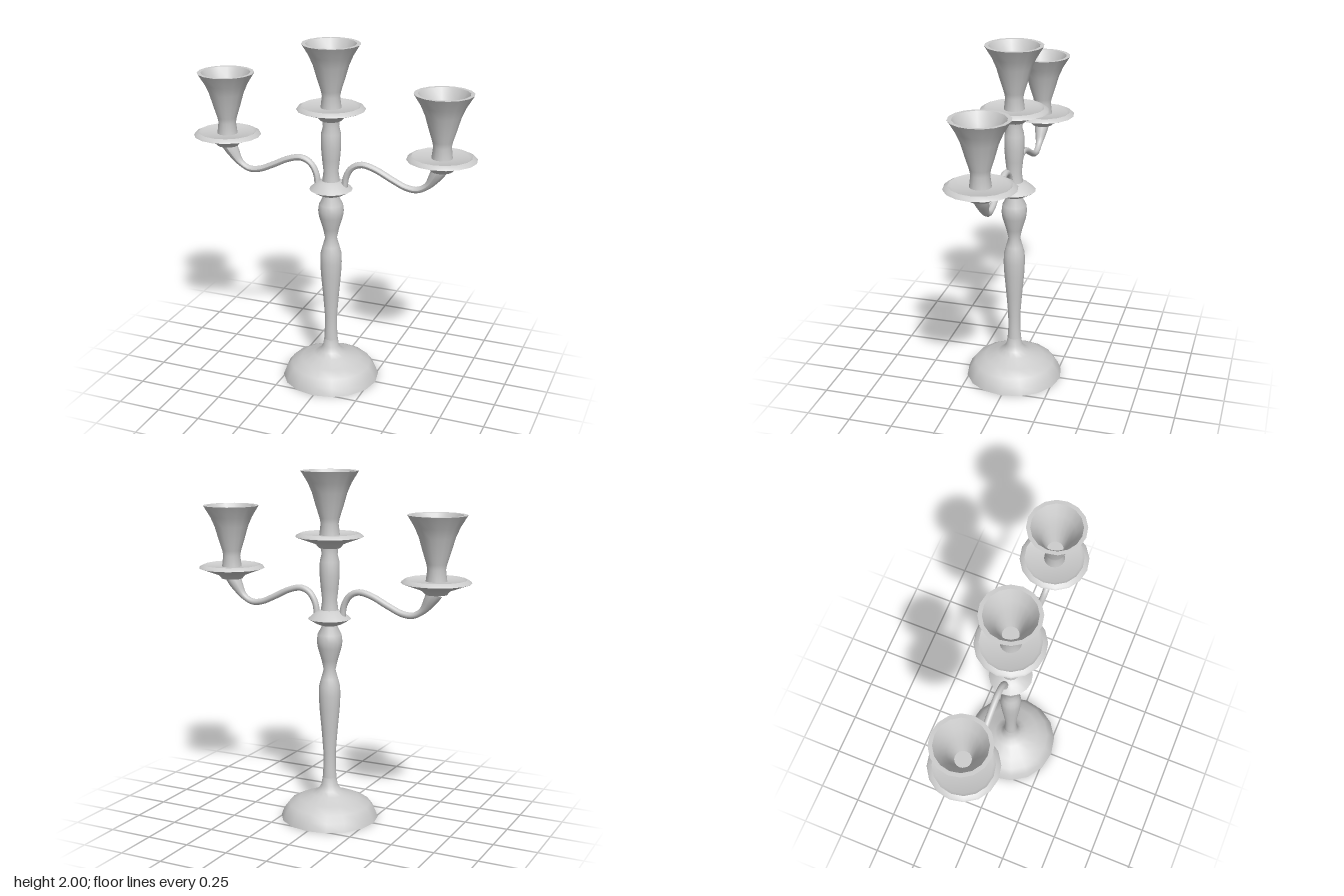
import * as THREE from 'three';
import { toCreasedNormals } from 'three/addons/utils/BufferGeometryUtils.js';

const material = new THREE.MeshStandardMaterial({ color: 0xcccccc });

// Turned part from [radius, height] pairs, listed from the bottom up the outside
function turned(name, profile) {
  const points = profile.map(([r, y]) => new THREE.Vector2(r, y));
  const geometry = toCreasedNormals(new THREE.LatheGeometry(points, 16), 0.8);
  const mesh = new THREE.Mesh(geometry, material);
  mesh.name = name;
  return mesh;
}

// Drip plate and flared cup; y = 0 is the underside of the plate
function candleHolder(name, x, y) {
  const group = new THREE.Group();
  group.name = name;
  group.add(turned('dripPlate', [
    [0, 0], [0.06, 0], [0.08, 0.022], [0.13, 0.041], [0.192, 0.063],
    [0.185, 0.072], [0.165, 0.082], [0.15, 0.074], [0, 0.07],
  ]));
  group.add(turned('candleCup', [
    [0.058, 0.07], [0.05, 0.135], [0.056, 0.165], [0.078, 0.235], [0.098, 0.305],
    [0.122, 0.36], [0.162, 0.425], [0.14, 0.425], [0.105, 0.365],
    [0.08, 0.305], [0.06, 0.235], [0.045, 0.18], [0, 0.18],
  ]));
  group.position.set(x, y, 0);
  return group;
}

// Curved arm, widening where it meets the drip plate
function arm(name, side) {
  const path = new THREE.CatmullRomCurve3([
    [0.08, 1.185], [0.09, 1.255], [0.125, 1.313], [0.18, 1.337], [0.255, 1.322],
    [0.36, 1.272], [0.44, 1.238], [0.505, 1.233], [0.562, 1.265],
    [0.602, 1.32], [0.632, 1.37],
  ].map(([x, y]) => new THREE.Vector3(side * x, y, 0)));
  const geometry = new THREE.TubeGeometry(path, 40, 0.018, 10);
  const { position, uv } = geometry.attributes;
  const p = new THREE.Vector3();
  for (let i = 0; i < position.count; i++) {
    const u = uv.getX(i);
    const center = path.getPointAt(u);
    const scale = 1 + 1.4 * THREE.MathUtils.smoothstep(u, 0.78, 1);
    p.fromBufferAttribute(position, i).sub(center).multiplyScalar(scale).add(center);
    position.setXYZ(i, p.x, p.y, p.z);
  }
  geometry.computeVertexNormals();
  const mesh = new THREE.Mesh(geometry, material);
  mesh.name = name;
  return mesh;
}

export function createModel() {
  const model = new THREE.Group();
  model.name = 'candelabra';

  // Domed foot flowing into the slender stem
  model.add(turned('foot', [
    [0, 0], [0.282, 0], [0.265, 0.045], [0.235, 0.085], [0.175, 0.115],
    [0.1, 0.143], [0.065, 0.165], [0.047, 0.195], [0.04, 0.24],
  ]));
  model.add(turned('lowerStem', [
    [0.04, 0.24], [0.036, 0.3], [0.036, 0.39], [0.046, 0.52], [0.058, 0.65],
    [0.062, 0.73], [0.06, 0.785], [0.048, 0.83], [0.034, 0.88], [0.046, 0.935],
    [0.068, 1.01], [0.073, 1.045], [0.068, 1.085], [0.045, 1.13], [0.045, 1.15],
  ]));

  // Collar that carries the arms, and the stem above it
  model.add(turned('collar', [
    [0.04, 1.135], [0.07, 1.145], [0.122, 1.175], [0.075, 1.215], [0.05, 1.225],
  ]));
  model.add(turned('upperStem', [
    [0.05, 1.22], [0.042, 1.28], [0.05, 1.35], [0.056, 1.42],
    [0.055, 1.5], [0.045, 1.54], [0.05, 1.585],
  ]));

  model.add(candleHolder('centerHolder', 0, 1.575));
  for (const [label, side] of [['left', 1], ['right', -1]]) {
    model.add(arm(label + 'Arm', side));
    model.add(candleHolder(label + 'Holder', side * 0.637, 1.36));
  }
  return model;
}
